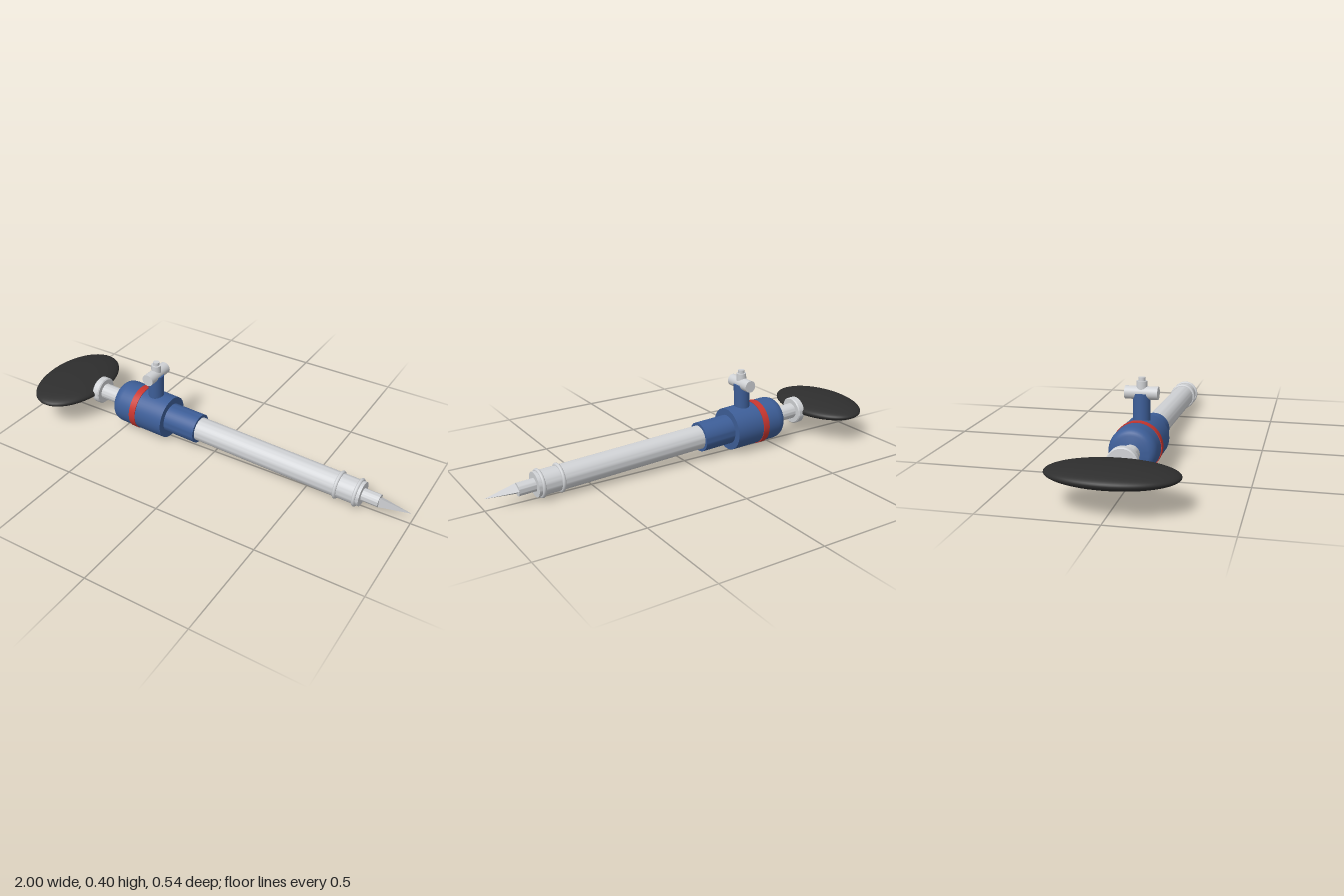
import * as THREE from 'three';
import { toCreasedNormals } from 'three/addons/utils/BufferGeometryUtils.js';

export function createModel() {
  const mat = (name, color) => {
    const m = new THREE.MeshStandardMaterial({ color });
    m.name = name;
    return m;
  };
  const blue = mat('blue', 0x3d5e98);
  const silver = mat('silver', 0xd0d2d5);
  const red = mat('red', 0xc8362f);
  const black = mat('black', 0x2e2e2e);

  const model = new THREE.Group();
  model.name = 'jackDrill';
  // everything sits on one axis that dips towards the point
  const tool = new THREE.Group();
  tool.name = 'tool';
  tool.position.y = 0.105;
  tool.rotation.z = -0.045;
  model.add(tool);

  const add = (name, geometry, material, x = 0, y = 0, z = 0) => {
    const mesh = new THREE.Mesh(geometry, material);
    mesh.name = name;
    mesh.position.set(x, y, z);
    tool.add(mesh);
    return mesh;
  };
  // profile of [position along x, radius] turned about the x axis
  const turned = (name, profile, material) => {
    const pts = profile.map(([x, r]) => new THREE.Vector2(r, x));
    const g = new THREE.LatheGeometry(pts, 48).rotateZ(-Math.PI / 2);
    return add(name, toCreasedNormals(g, 0.6), material);
  };
  const rod = (name, x0, x1, r, material) =>
    turned(name, [[x0, 0], [x0, r], [x1, r], [x1, 0]], material);

  // oval pad, stem and flange
  add('pad', new THREE.SphereGeometry(1, 48, 32).scale(0.165, 0.043, 0.271), black, -0.838, 0.003);
  turned('flange', [[-0.695, 0], [-0.695, 0.062], [-0.69, 0.067], [-0.662, 0.067], [-0.657, 0.062], [-0.657, 0]], silver);
  rod('stem', -0.67, -0.53, 0.039, silver);

  // motor housing with a rounded rear and a red band
  turned('housing', [[-0.543, 0], [-0.543, 0.076], [-0.538, 0.088], [-0.527, 0.098], [-0.512, 0.104],
    [-0.495, 0.106], [-0.4, 0.106], [-0.25, 0.105], [-0.25, 0]], blue);
  turned('band', [[-0.433, 0.1], [-0.433, 0.109], [-0.399, 0.109], [-0.399, 0.1]], red);
  rod('collar', -0.26, -0.083, 0.072, blue);

  // barrel with two rounded rings
  rod('barrel', -0.1, 0.773, 0.058, silver);
  for (const x of [0.657, 0.75]) {
    add('barrelRing', new THREE.TorusGeometry(0.059, 0.0085, 12, 48).rotateY(Math.PI / 2), silver, x);
  }

  // nose and three-sided point
  rod('nose', 0.765, 0.853, 0.03, silver);
  const point = new THREE.CylinderGeometry(0, 0.03, 0.15, 3).toNonIndexed();
  point.rotateY(Math.PI).rotateZ(-Math.PI / 2);
  point.computeVertexNormals();
  add('point', point, silver, 0.925);

  // upright handle post, cross bar and cap
  const px = -0.3425;
  const upright = (name, y0, y1, r, material) =>
    add(name, new THREE.CylinderGeometry(r, r, y1 - y0, 40), material, px, (y0 + y1) / 2);
  upright('post', 0.05, 0.218, 0.038, blue);
  add('crossBar', new THREE.CylinderGeometry(0.029, 0.029, 0.146, 40).rotateX(Math.PI / 2), silver, px, 0.219);
  upright('cap', 0.219, 0.272, 0.024, silver);
  upright('capTop', 0.27, 0.288, 0.015, silver);

  return model;
}
